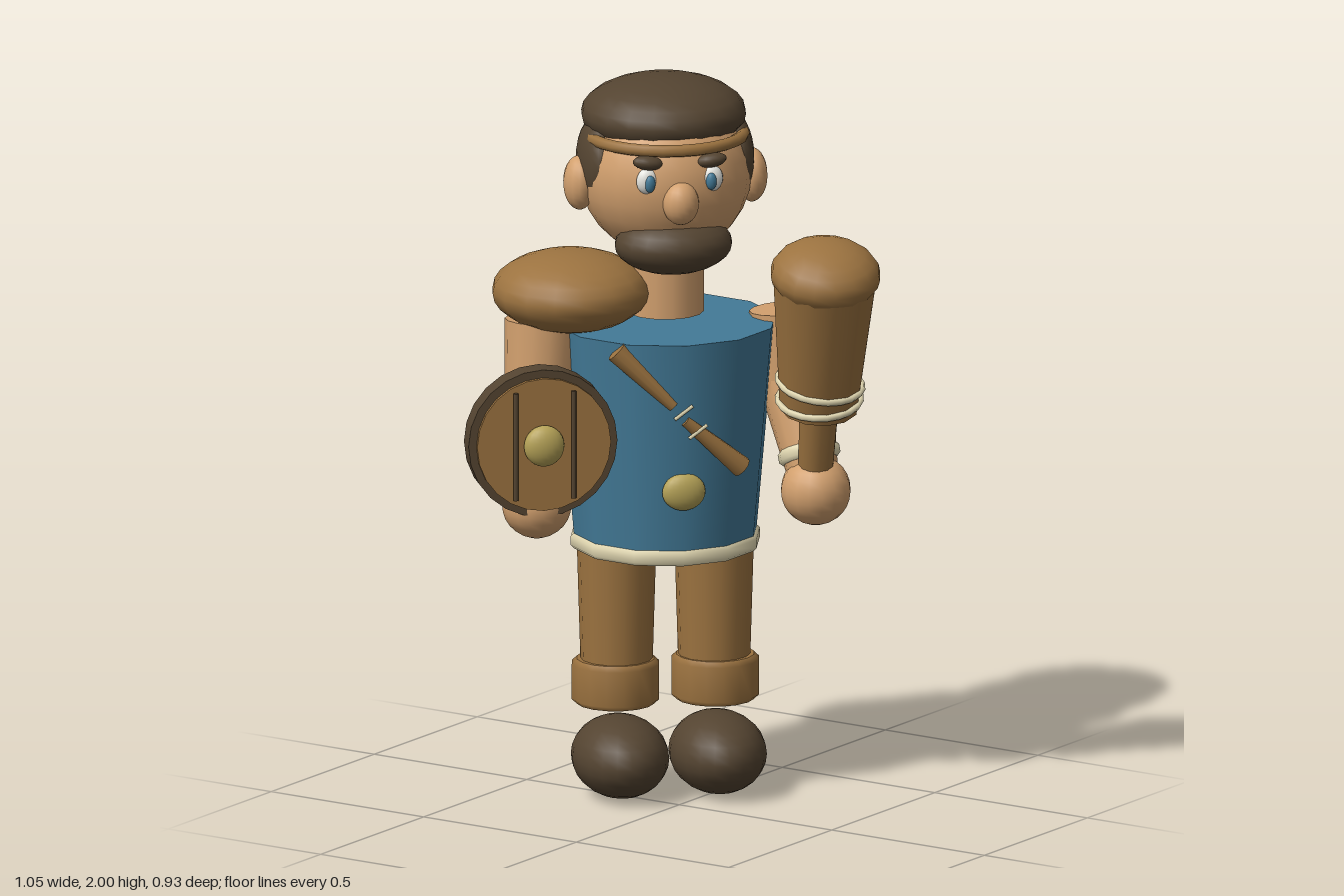
import * as THREE from 'three';

const mat = (name, color) => {
  const m = new THREE.MeshStandardMaterial({ color });
  m.name = name;
  return m;
};

export function createModel() {
  const skin = mat('skin', 0xd2a06e);
  const leather = mat('leather brown', 0x9c7340);
  const dark = mat('dark brown', 0x544431);
  const blue = mat('tunic blue', 0x437a97);
  const cream = mat('cream', 0xe0d6b0);
  const gold = mat('gold', 0xb5a257);
  const white = mat('eye white', 0xe8e8e2);

  const model = new THREE.Group();
  model.name = 'warrior';
  // the figure is turned 45 degrees; everything below is in its own frame
  const body = new THREE.Group();
  body.name = 'body';
  body.position.set(-0.13, 0, -0.125);
  body.rotation.y = Math.PI / 4;
  model.add(body);

  const V = (x, y, z) => new THREE.Vector3(x, y, z);
  const UP = V(0, 1, 0);
  const add = (name, geo, material, x = 0, y = 0, z = 0, parent = body) => {
    const mesh = new THREE.Mesh(geo, material);
    mesh.name = name;
    mesh.position.set(x, y, z);
    parent.add(mesh);
    return mesh;
  };
  const ball = (name, material, [x, y, z], [rx, ry, rz], seg = 20) =>
    add(name, new THREE.SphereGeometry(1, seg, 14).scale(rx, ry, rz), material, x, y, z);
  // tapered cylinder from point a to point b
  const rod = (name, material, a, b, ra, rb, seg = 14) => {
    const d = b.clone().sub(a);
    const mid = a.clone().add(b).multiplyScalar(0.5);
    const m = add(name, new THREE.CylinderGeometry(rb, ra, d.length(), seg), material, mid.x, mid.y, mid.z);
    m.quaternion.setFromUnitVectors(UP, d.normalize());
    return m;
  };
  // closed band with softened edges
  const band = (name, material, r, h, bevel, seg, pos) => {
    const p = [[0, -h / 2], [r - bevel, -h / 2], [r - bevel, -h / 2], [r, -h / 2 + bevel],
      [r, h / 2 - bevel], [r - bevel, h / 2], [r - bevel, h / 2], [0, h / 2]];
    return add(name, new THREE.LatheGeometry(p.map(q => new THREE.Vector2(...q)), seg), material, ...pos);
  };

  // tunic and hem
  add('tunic', new THREE.CylinderGeometry(0.305, 0.252, 0.6, 12), blue, 0, 1.02, 0);
  band('hem', cream, 0.262, 0.044, 0.01, 12, [0, 0.712, 0]);
  ball('beltBuckle', gold, [0, 0.902, 0.265], [0.06, 0.052, 0.028]);

  // legs, cuffs, feet
  for (const s of [-1, 1]) {
    const side = s > 0 ? 'left' : 'right';
    add(side + 'Leg', new THREE.CylinderGeometry(0.108, 0.098, 0.34, 14), leather, s * 0.135, 0.53, 0);
    band(side + 'Cuff', leather, 0.121, 0.125, 0.014, 16, [s * 0.138, 0.317, 0]);
    ball(side + 'Foot', dark, [s * 0.135, 0.116, 0.05], [0.132, 0.112, 0.18]);
  }

  // arms, mirrored
  for (const s of [-1, 1]) {
    const side = s > 0 ? 'left' : 'right';
    const elbow = V(s * 0.355, 1.14, 0.015);
    const wrist = V(s * 0.384, 0.89, 0.14);
    rod(side + 'UpperArm', skin, V(s * 0.352, 1.1, 0.015), V(s * 0.338, 1.335, 0), 0.095, 0.105);
    rod(side + 'Forearm', skin, wrist, elbow, 0.068, 0.1);
    const cuffAt = wrist.clone().lerp(elbow, 0.25);
    const bracelet = band(side + 'Bracelet', cream, 0.085, 0.042, 0.01, 14, cuffAt.toArray());
    bracelet.quaternion.setFromUnitVectors(UP, elbow.clone().sub(wrist).normalize());
    ball(side + 'Hand', skin, [s * 0.386, 0.862, 0.156], [0.096, 0.096, 0.096], 16);
  }
  ball('shoulderPad', leather, [-0.262, 1.415, 0], [0.216, 0.11, 0.216], 16);

  // neck and head
  add('neck', new THREE.CylinderGeometry(0.105, 0.105, 0.25, 14), skin, 0, 1.47, 0);
  ball('head', skin, [0, 1.735, 0], [0.235, 0.23, 0.232], 24);
  ball('hairCap', dark, [0, 1.895, -0.025], [0.226, 0.105, 0.22]);
  add('headband', new THREE.TorusGeometry(0.212, 0.017, 8, 28).rotateX(Math.PI / 2), leather, 0, 1.845, 0.004);
  ball('beard', dark, [0, 1.562, 0.115], [0.162, 0.083, 0.126]);
  ball('nose', skin, [0, 1.7, 0.222], [0.05, 0.06, 0.046], 16);
  for (const s of [-1, 1]) {
    const side = s > 0 ? 'left' : 'right';
    ball(side + 'Sideburn', dark, [s * 0.188, 1.772, -0.005], [0.055, 0.12, 0.115]);
    ball(side + 'Ear', skin, [s * 0.238, 1.715, 0.0], [0.044, 0.075, 0.058], 14);
    ball(side + 'Eye', white, [s * 0.09, 1.762, 0.205], [0.03, 0.036, 0.02], 14);
    ball(side + 'Iris', blue, [s * 0.085, 1.757, 0.22], [0.015, 0.024, 0.012], 12);
    const brow = ball(side + 'Eyebrow', dark, [s * 0.088, 1.813, 0.205], [0.042, 0.02, 0.024], 12);
    brow.rotation.z = s * 0.12;
  }

  // shield on the right forearm
  const disc = (r, h) => new THREE.CylinderGeometry(r, r, h, 24).rotateX(Math.PI / 2);
  add('shieldRim', disc(0.206, 0.066), dark, -0.385, 1.05, 0.207);
  add('shieldFace', disc(0.185, 0.012), leather, -0.385, 1.05, 0.25);
  for (const s of [-1, 1])
    add('shieldBar', new THREE.CylinderGeometry(0.007, 0.007, 0.3, 8), dark, -0.385 + s * 0.08, 1.05, 0.267);
  ball('shieldBoss', gold, [-0.387, 1.05, 0.268], [0.056, 0.057, 0.032]);

  // two pegs and their ties across the chest
  rod('upperPeg', leather, V(-0.184, 1.3, 0.25), V(-0.03, 1.145, 0.275), 0.03, 0.016, 10);
  rod('lowerPeg', leather, V(0.163, 0.96, 0.25), V(0.0, 1.105, 0.28), 0.03, 0.015, 10);
  for (const [x, y, z] of [[-0.005, 1.13, 0.28], [0.035, 1.075, 0.28]])
    rod('pegTie', cream, V(x - 0.025, y - 0.018, z + 0.01), V(x + 0.025, y + 0.018, z + 0.01), 0.005, 0.005, 6);

  // club in the left hand, built along its own y axis from the grip
  const club = new THREE.Group();
  club.name = 'club';
  club.position.set(0.383, 0.862, 0.156);
  club.quaternion.setFromUnitVectors(UP, V(-0.004, 0.67, 0.18).normalize());
  body.add(club);
  add('clubGrip', new THREE.CylinderGeometry(0.056, 0.045, 0.32, 12), leather, 0, 0.14, 0, club);
  add('clubBody', new THREE.CylinderGeometry(0.145, 0.108, 0.42, 12), leather, 0, 0.468, 0, club);
  add('clubTop', new THREE.SphereGeometry(1, 16, 12).scale(0.151, 0.088, 0.151), leather, 0, 0.672, 0, club);
  for (const [y, r, tilt] of [[0.285, 0.112, 0.05], [0.335, 0.115, -0.08]]) {
    const rope = add('clubRope', new THREE.TorusGeometry(r, 0.01, 6, 20).rotateX(Math.PI / 2), cream, 0, y, 0, club);
    rope.rotation.z = tilt;
  }
  return model;
}
